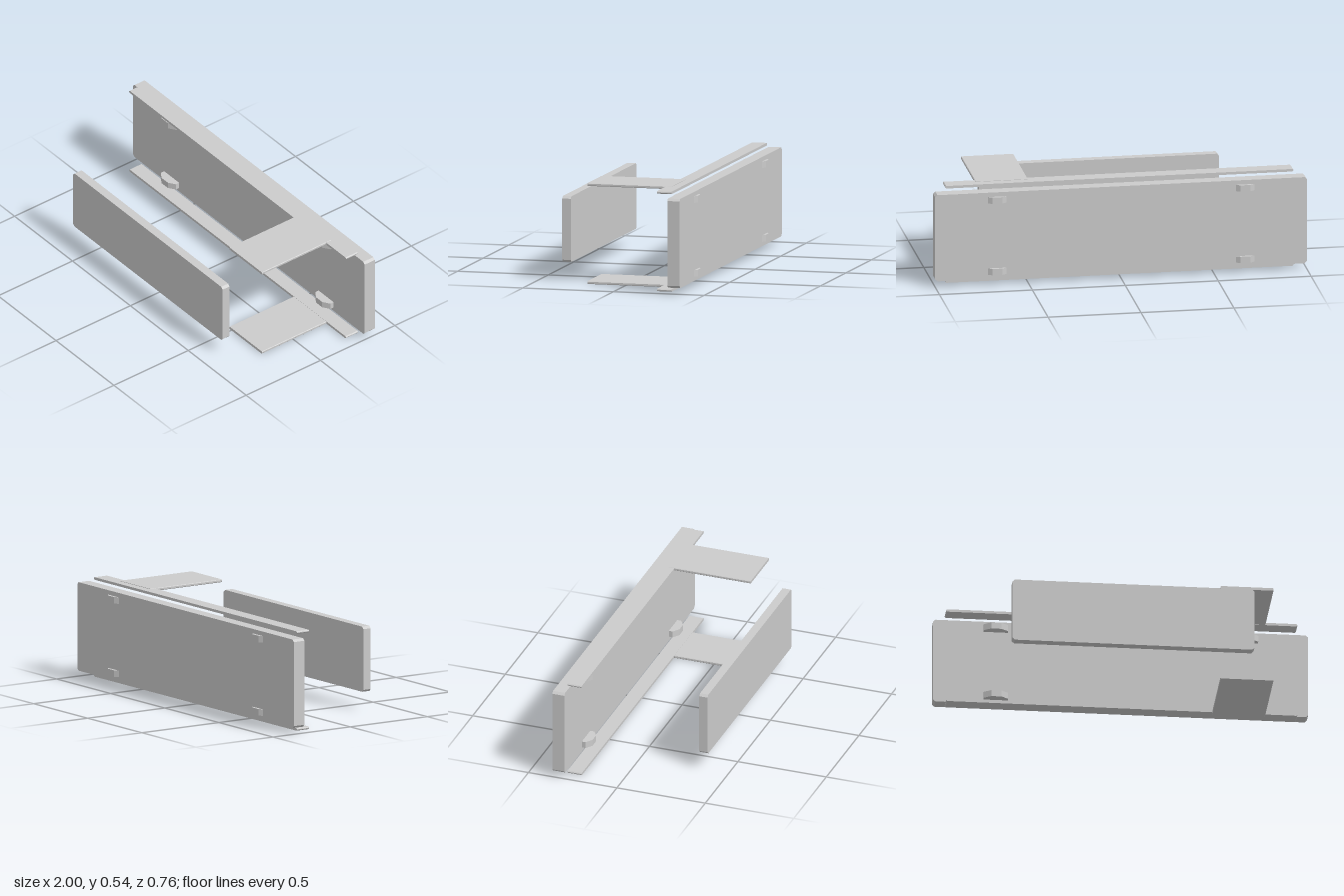
import * as THREE from 'three';

const material = new THREE.MeshStandardMaterial({ color: 0xcccccc, flatShading: true });

// Upright slab in the xy plane with clipped corners, from z0 to z1
function slab(name, x0, x1, y0, y1, z0, z1, c) {
  const shape = new THREE.Shape([
    [x0 + c, y0], [x1 - c, y0], [x1, y0 + c], [x1, y1 - c],
    [x1 - c, y1], [x0 + c, y1], [x0, y1 - c], [x0, y0 + c],
  ].map(([x, y]) => new THREE.Vector2(x, y)));
  const geometry = new THREE.ExtrudeGeometry(shape, { depth: z1 - z0, bevelEnabled: false });
  geometry.translate(0, 0, z0);
  const mesh = new THREE.Mesh(geometry, material);
  mesh.name = name;
  return mesh;
}

// Flattened eight-sided peg lying through the back panel
function peg(name, x, y) {
  const w = 0.065, f = 0.027, d = 0.065, k = 0.04;
  const shape = new THREE.Shape([
    [-f, -d], [f, -d], [w, -k], [w, k], [f, d], [-f, d], [-w, k], [-w, -k],
  ].map(([a, b]) => new THREE.Vector2(a, b)));
  const geometry = new THREE.ExtrudeGeometry(shape, { depth: 0.035, bevelEnabled: false });
  geometry.translate(0, 0, -0.0175).rotateX(-Math.PI / 2);
  const mesh = new THREE.Mesh(geometry, material);
  mesh.name = name;
  mesh.position.set(x, y, -0.315);
  return mesh;
}

export function createModel() {
  const model = new THREE.Group();
  model.name = 'panelAssembly';
  const midY = 0.2725;

  // Large back panel and smaller front panel
  model.add(slab('backPanel', -1, 1, 0.034, 0.512, -0.365, -0.297, 0.012));
  model.add(slab('frontPanel', -0.645, 0.645, 0.097, 0.449, 0.335, 0.382, 0.012));

  for (const [side, s] of [['bottom', -1], ['top', 1]]) {
    // Long rail and the wide arm reaching forward from it
    const span = (a, b) => [midY + s * a, midY + s * b].sort((p, q) => p - q);
    model.add(slab(side + 'Rail', -0.938, 0.935, ...span(0.2545, 0.2685), -0.302, -0.222, 0.005));
    model.add(slab(side + 'Arm', 0.482, 0.765, ...span(0.2555, 0.2705), -0.255, 0.21, 0.003));

    // Pegs near each end of the back panel
    for (const [end, e] of [['Right', -1], ['Left', 1]]) {
      model.add(peg(side + end + 'Peg', e * 0.667, midY + s * 0.198));
    }
  }
  return model;
}
